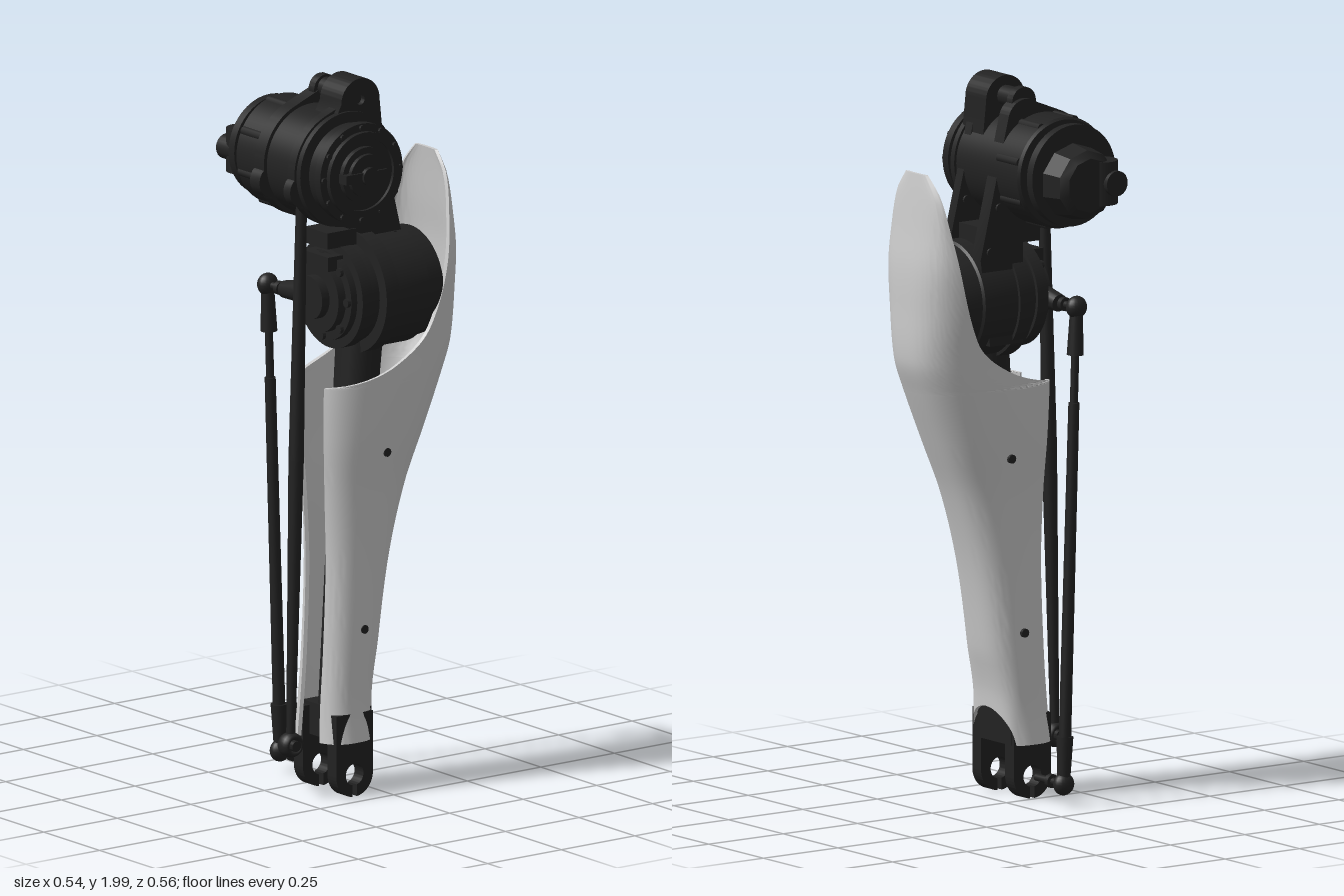
import * as THREE from 'three';
import { toCreasedNormals } from 'three/addons/utils/BufferGeometryUtils.js';

const DARK = new THREE.MeshStandardMaterial({ color: 0x222222 });
const DARK_TWO = new THREE.MeshStandardMaterial({ color: 0x222222, side: THREE.DoubleSide });
const SHELL = new THREE.MeshStandardMaterial({ color: 0xcccccc, side: THREE.DoubleSide });
const V = (x, y, z) => new THREE.Vector3(x, y, z);

// Smooth interpolation through rows [y, value...] for the given column
function curve(rows, y, k) {
  let i = 0;
  while (i < rows.length - 2 && y > rows[i + 1][0]) i++;
  const slope = (j) => {
    const a = rows[Math.max(j - 1, 0)], b = rows[Math.min(j + 1, rows.length - 1)];
    return (b[k] - a[k]) / (b[0] - a[0]);
  };
  const [p, q] = [rows[i], rows[i + 1]], h = q[0] - p[0], t = (y - p[0]) / h, t2 = t * t, t3 = t2 * t;
  return (2 * t3 - 3 * t2 + 1) * p[k] + (t3 - 2 * t2 + t) * h * slope(i)
    + (3 * t2 - 2 * t3) * q[k] + (t3 - t2) * h * slope(i + 1);
}

// Cover sections: height, back x, front x, half width
const SECTIONS = [
  [0.16, -0.18, -0.005, 0.11], [0.25, -0.175, 0, 0.1], [0.4, -0.165, 0.02, 0.098],
  [0.65, -0.157, 0.06, 0.1], [0.85, -0.165, 0.115, 0.108], [1.0, -0.175, 0.175, 0.125],
  [1.15, -0.18, 0.235, 0.138], [1.24, -0.175, 0.264, 0.144], [1.4, -0.1, 0.267, 0.16],
  [1.5, 0.02, 0.264, 0.153], [1.6, 0.12, 0.252, 0.13], [1.7, 0.17, 0.241, 0.1], [1.755, 0.2, 0.234, 0.055],
];
// Upper rim of the cover: height, x
const RIM = [[1.15, -0.19], [1.158, -0.14], [1.175, -0.06], [1.2, 0.01], [1.25, 0.09],
  [1.3, 0.13], [1.42, 0.172], [1.6, 0.205], [1.755, 0.226]];
const POW = 0.75, MID_Z = 0.1;
const bend = (v) => Math.sign(v) * Math.abs(v) ** POW;

function coverPoint(y, theta, inset) {
  const xb = curve(SECTIONS, y, 1), xf = curve(SECTIONS, y, 2), w = curve(SECTIONS, y, 3);
  const a = Math.max((xf - xb) / 2 - inset, 0.002);
  const x = (xb + xf) / 2 + a * bend(Math.cos(theta));
  const dz = (w - inset) * bend(Math.sin(theta));
  // arched cut-out at the ankle, on the front edge only
  const arch = Math.cos(theta) > -0.2 ? 0.1 * Math.sqrt(Math.max(0, 1 - (dz / 0.095) ** 2)) : 0;
  return [x, y + arch * Math.max(0, 1 - (y - 0.16) / 0.25), MID_Z + dz];
}

function coverGeometry() {
  const N = 56, M = 2 * (N + 1), ys = [], pos = [], idx = [];
  for (let i = 0; i < 30; i++) ys.push(0.16 + 0.98 * i / 29);
  for (let i = 0; i <= 40; i++) ys.push(1.15 + 0.605 * (i / 40) ** 1.6);
  for (const y of ys) {
    const xb = curve(SECTIONS, y, 1), xf = curve(SECTIONS, y, 2);
    let T = Math.PI - 0.35;
    if (y >= 1.15) {
      const c = (curve(RIM, y, 1) - (xb + xf) / 2) / ((xf - xb) / 2);
      const cut = THREE.MathUtils.clamp(Math.sign(c) * Math.abs(c) ** (1 / POW), -1, 1);
      T = Math.min(T, Math.acos(cut));
    }
    for (let j = 0; j <= N; j++) pos.push(...coverPoint(y, T * (2 * j / N - 1), 0));
    for (let j = N; j >= 0; j--) pos.push(...coverPoint(y, T * (2 * j / N - 1), 0.01));
  }
  for (let i = 0; i < ys.length - 1; i++) for (let j = 0; j < M; j++) {
    const a = i * M + j, d = i * M + (j + 1) % M;
    idx.push(a, a + M, d + M, a, d + M, d);
  }
  for (const r of [0, (ys.length - 1) * M]) for (let j = 0; j < N; j++) {
    const a = r + j, b = r + j + 1, c = r + M - 2 - j, d = r + M - 1 - j;
    idx.push(a, b, c, a, c, d);
  }
  const g = new THREE.BufferGeometry();
  g.setAttribute('position', new THREE.Float32BufferAttribute(pos, 3));
  g.setIndex(idx);
  return toCreasedNormals(g, 0.9);
}

export function createModel() {
  const model = new THREE.Group();
  const add = (name, geo, mat = DARK, parent = model) => {
    const m = new THREE.Mesh(geo, mat);
    m.name = name;
    parent.add(m);
    return m;
  };
  // Turned part: profile of [radius, distance] along 'x' or 'z'
  const turned = (name, profile, axis, x, y, z, sides = 48) => {
    const g = toCreasedNormals(new THREE.LatheGeometry(profile.map((p) => new THREE.Vector2(...p)), sides), 0.5);
    if (axis === 'z') g.rotateX(Math.PI / 2);
    if (axis === 'x') g.rotateZ(-Math.PI / 2);
    return add(name, g.translate(x, y, z));
  };
  const disc = (name, r, t0, t1, axis, x, y, z, sides) =>
    turned(name, [[0, t0], [r, t0], [r, t1], [0, t1]], axis, x, y, z, sides);
  const bar = (name, a, b, r0, r1 = r0, sides = 20) => {
    const d = b.clone().sub(a), m = add(name, new THREE.CylinderGeometry(r1, r0, d.length(), sides));
    m.position.copy(a).addScaledVector(d, 0.5);
    m.quaternion.setFromUnitVectors(V(0, 1, 0), d.normalize());
    return m;
  };
  const box = (name, x0, x1, y0, y1, z0, z1) => add(name, new THREE.BoxGeometry(x1 - x0, y1 - y0, z1 - z0)
    .translate((x0 + x1) / 2, (y0 + y1) / 2, (z0 + z1) / 2));
  const plate = (name, shape, z0, z1, mat = DARK) => add(name, toCreasedNormals(new THREE.ExtrudeGeometry(shape,
    { depth: z1 - z0, bevelEnabled: false, curveSegments: 24 }).translate(0, 0, z0), 0.5), mat);

  // Shin cover with its screws
  add('shinCover', coverGeometry(), SHELL);
  for (const [x, y] of [[0, 0.96], [-0.06, 0.47]]) {
    const w = curve(SECTIONS, y, 3);
    for (const s of [-1, 1]) disc('coverScrew', 0.012, -0.012, 0.003, 'z', x, y, MID_Z + s * (w - (s < 0 ? 0.003 : 0)), 16);
  }

  // Inner strut and ankle fork
  bar('shinStrut', V(-0.09, 0.2, MID_Z), V(0.0, 1.3, MID_Z), 0.045, 0.065, 24);
  box('ankleBridge', -0.135, -0.03, 0.16, 0.25, 0.02, 0.19);
  const lug = new THREE.Shape(), cx = -0.095, cy = 0.07, gap = 0.12, down = -Math.PI / 2;
  lug.absarc(cx, cy, 0.062, down + gap, 0, false);
  lug.lineTo(cx + 0.062, 0.24);
  lug.lineTo(cx - 0.062, 0.24);
  lug.absarc(cx, cy, 0.062, Math.PI, Math.PI * 1.5 - gap, false);
  lug.absarc(cx, cy, 0.03, Math.PI * 1.5 - gap * 2, down + gap * 2, true);
  for (const z of [0.01, 0.16]) plate('ankleLug', lug, z, z + 0.04);

  // Hip motor, axis front to back
  const hx = -0.095, hy = 1.755;
  turned('hipMotor', [[0, -0.18], [0.14, -0.18], [0.14, -0.155], [0.12, -0.155], [0.12, -0.135], [0.147, -0.135],
    [0.153, -0.128], [0.153, 0.15], [0.16, 0.15], [0.16, 0.167], [0.13, 0.167], [0.13, 0.205], [0.14, 0.205], [0.14, 0.23],
    [0.118, 0.23], [0.118, 0.244], [0.1, 0.244], [0.1, 0.235], [0.078, 0.235], [0.078, 0.25], [0.06, 0.25],
    [0.06, 0.262], [0.025, 0.262], [0.025, 0.275], [0, 0.275]], 'z', hx, hy, 0, 64);
  for (let i = 0; i < 12; i++) {
    const a = i * Math.PI / 6;
    disc('hipBolt', 0.008, 0.225, 0.237, 'z', hx + 0.129 * Math.cos(a), hy + 0.129 * Math.sin(a), 0, 8);
  }
  box('hipFaceRib', hx - 0.08, hx + 0.06, 1.742, 1.768, 0.235, 0.268);
  // Rear cap, cable outlet and cooling ribs
  turned('hipRearCap', [[0, -0.262], [0.075, -0.262], [0.095, -0.245], [0.105, -0.18], [0, -0.18]], 'z', hx + 0.004, 1.74, 0, 10);
  bar('cableOutlet', V(-0.15, 1.68, -0.225), V(-0.15, 1.8, -0.225), 0.048, 0.048);
  disc('cableOutletRing', 0.035, -0.283, -0.2, 'z', -0.165, 1.74, 0, 20);
  for (let i = 0; i < 8; i++) {
    const a = i * Math.PI / 4 + 0.3;
    bar('hipRib', V(hx + 0.146 * Math.cos(a), hy + 0.146 * Math.sin(a), -0.125),
      V(hx + 0.146 * Math.cos(a), hy + 0.146 * Math.sin(a), -0.03), 0.013, 0.013, 10);
  }

  // Twin side plates joining the hip motor to the knee motor
  const side = new THREE.Shape();
  side.absarc(-0.04, 1.89, 0.06, 0.25, Math.PI * 0.7, false);
  side.absarc(hx, hy, 0.163, Math.PI * 0.62, Math.PI * 1.5, false);
  side.lineTo(-0.03, 1.56);
  side.lineTo(-0.03, 1.28);
  side.lineTo(0.08, 1.28);
  side.lineTo(0.112, 1.52);
  side.closePath();
  for (const [z0, z1] of [[-0.035, 0.008], [0.115, 0.145]]) {
    plate('sidePlate', side, z0, z1);
    disc('plateEar', 0.045, z0, z1, 'z', -0.228, 1.71, 0, 20);
    for (const [x, y] of [[0.05, 1.66], [0.08, 1.54]]) disc('plateBolt', 0.012, z0 - 0.006, z1 + 0.006, 'z', x, y, 0, 12);
  }
  box('plateWeb', -0.02, 0.075, 1.3, 1.6, -0.03, 0.14);

  // Top hanger eye with its cross pin
  const eye = new THREE.Shape();
  eye.absarc(-0.045, 1.935, 0.065, 0, Math.PI, false);
  eye.lineTo(-0.16, 1.84);
  eye.lineTo(0.03, 1.84);
  eye.closePath();
  eye.holes.push(new THREE.Path().absarc(-0.045, 1.94, 0.014, 0, Math.PI * 2, true));
  plate('hangerEye', eye, 0.065, 0.16);
  bar('hangerPin', V(-0.045, 1.945, 0.065), V(-0.045, 1.945, -0.015), 0.028);
  disc('hangerPinHead', 0.04, -0.02, 0.005, 'z', -0.045, 1.94, 0, 24);

  // Knee motor, axis left to right
  turned('kneeMotor', [[0, -0.175], [0.06, -0.175], [0.06, -0.15], [0.1, -0.15], [0.1, -0.125], [0.125, -0.125],
    [0.125, -0.105], [0.15, -0.105], [0.15, -0.07], [0.14, -0.07], [0.14, -0.04], [0.172, -0.04], [0.172, 0.005],
    [0.163, 0.005], [0.163, 0.115], [0.156, 0.12], [0.15, 0.17], [0.115, 0.19], [0, 0.19]], 'x', 0, 1.395, MID_Z, 56);
  for (let i = 0; i < 8; i++) {
    const a = i * Math.PI / 4;
    disc('kneeBolt', 0.012, -0.135, -0.1, 'x', 0, 1.395 + 0.112 * Math.cos(a), MID_Z + 0.112 * Math.sin(a), 10);
  }
  box('kneeTopClip', -0.15, -0.05, 1.535, 1.58, 0.05, 0.15);
  box('kneeUpperStop', -0.155, -0.09, 1.475, 1.515, 0.04, 0.16);
  bar('kneeCrank', V(-0.135, 1.395, 0.06), V(-0.135, 1.38, -0.06), 0.035, 0.024);

  // Long push rod behind the shin
  const foot = V(-0.237, 0.155, MID_Z), mid = V(-0.218, 0.95, MID_Z), head = V(-0.2, 1.66, MID_Z);
  bar('longRodLower', foot, mid, 0.012, 0.021);
  bar('longRodUpper', mid, head, 0.021, 0.015);
  add('longRodEye', new THREE.TorusGeometry(0.024, 0.011, 12, 28).scale(1, 1, 2).translate(foot.x, foot.y, foot.z));
  disc('longRodPin', 0.015, -0.028, 0.028, 'z', foot.x, foot.y, foot.z, 16);

  // Short side rod with ball joints at both ends
  const low = V(-0.095, 0.07, -0.133), top = V(-0.138, 1.38, -0.133);
  const at = (t) => low.clone().lerp(top, t);
  bar('sideRod', low, top, 0.011);
  bar('sideRodSleeve', at(0.1), at(0.8), 0.017, 0.015);
  for (const [p, t0, t1, zIn] of [[low, 0, 0.1, -0.01], [top, 1, 0.9, -0.04]]) {
    bar('rodSocket', at(t0), at(t1), 0.017, 0.023);
    add('rodBall', new THREE.SphereGeometry(0.031, 20, 14).scale(1, 1, 0.8).translate(p.x, p.y, p.z));
    bar('rodPin', p, V(p.x, p.y, zIn), 0.01);
    bar('rodPinCollar', V(p.x, p.y, -0.085), V(p.x, p.y, -0.07), 0.019);
  }
  return model;
}
